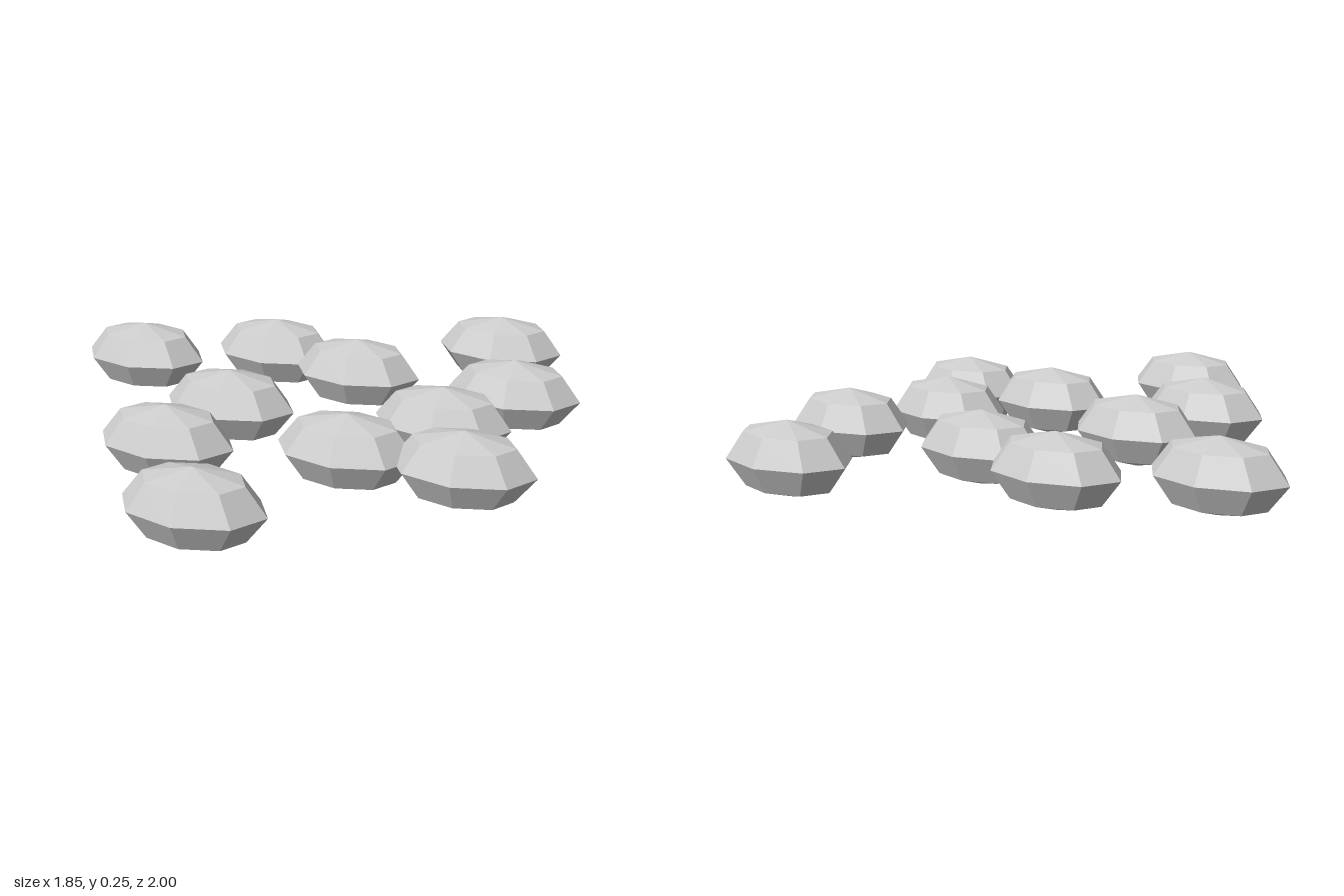
import * as THREE from 'three';

// Pebble radii along x, y and z
const RX = 0.2325, RY = 0.124, RZ = 0.155;

// Pebble centres on the ground: [x, z]
const SPOTS = [
  [0.53, -0.845], [-0.25, -0.51], [0.11, -0.4], [0.69, -0.38],
  [-0.69, -0.29], [0.53, -0.04], [-0.19, 0.065], [0.31, 0.295],
  [0.69, 0.3], [-0.25, 0.435], [0.035, 0.845],
];

export function createModel() {
  const group = new THREE.Group();
  group.name = 'pebbles';
  const material = new THREE.MeshStandardMaterial({ color: 0xcccccc, flatShading: true });

  // One low-poly stone, eight sided with four bands, flattened and stretched
  const stone = new THREE.SphereGeometry(1, 8, 4);
  stone.scale(RX, RY, RZ);

  SPOTS.forEach(([x, z], i) => {
    const pebble = new THREE.Mesh(stone, material);
    pebble.name = `pebble${i + 1}`;
    pebble.position.set(x, RY, z);
    group.add(pebble);
  });
  return group;
}
